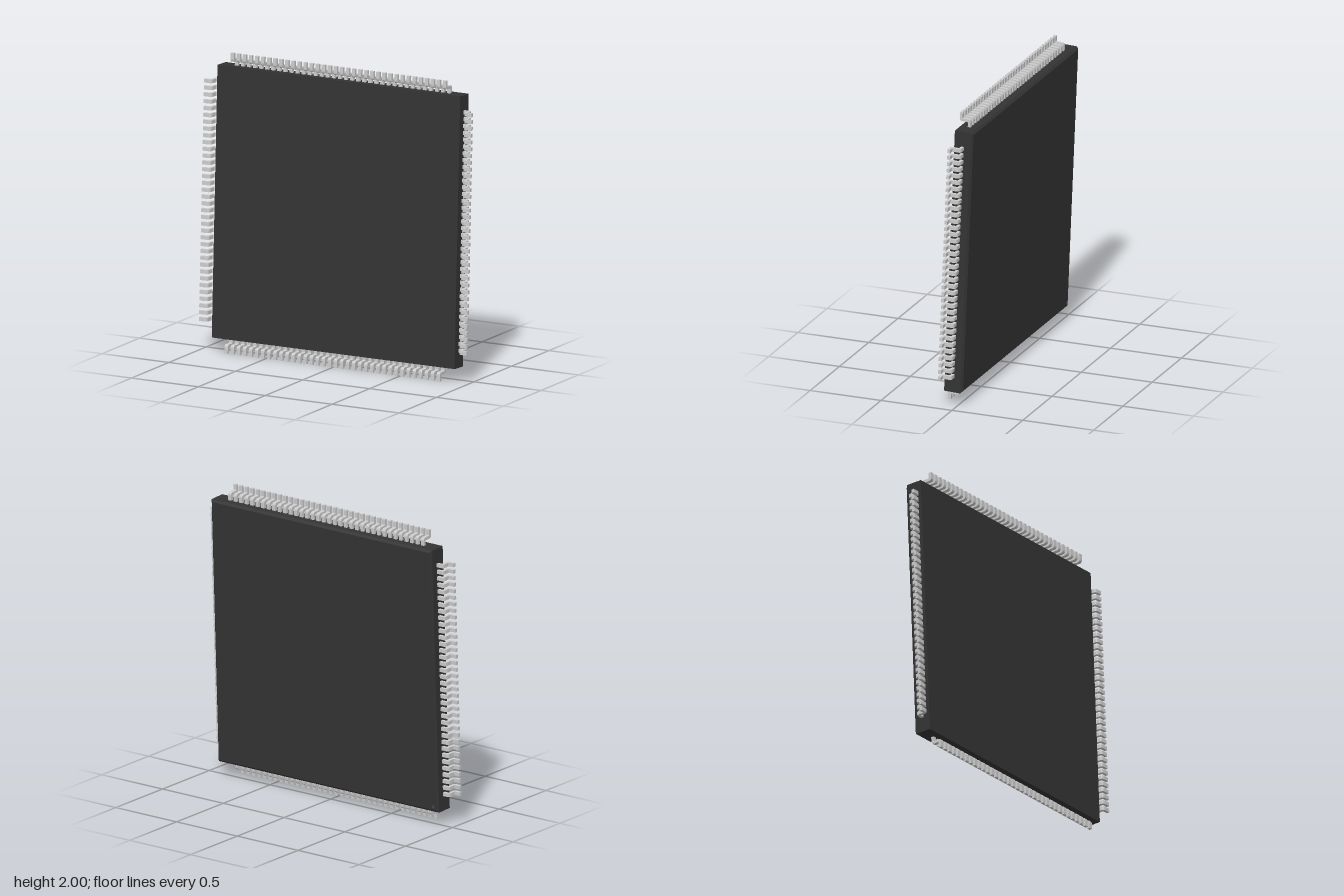
import * as THREE from 'three';

const HALF = 0.907;      // half width of the body
const THICK = 0.127;     // body thickness
const CHAMFER = 0.014;   // bevel around the back face
const LEADS = 36;        // leads per side
const PITCH = 0.0453;
const LEAD_WIDTH = 0.025;
const TILT = -0.042;     // the package leans slightly back

const bodyMaterial = new THREE.MeshStandardMaterial({ color: 0x333333 });
const dotMaterial = new THREE.MeshStandardMaterial({ color: 0x4a4a4a });
const leadMaterial = new THREE.MeshStandardMaterial({ color: 0xcccccc });

// Square slab whose back edges are chamfered
function bodyGeometry() {
  const box = new THREE.BoxGeometry(2 * HALF, 2 * HALF, THICK, 1, 1, 2);
  const p = box.attributes.position;
  const shrink = (HALF - CHAMFER) / HALF;
  for (let i = 0; i < p.count; i++) {
    const z = p.getZ(i);
    if (Math.abs(z) < 1e-4) p.setZ(i, -THICK / 2 + CHAMFER);
    else if (z < 0) p.setXY(i, p.getX(i) * shrink, p.getY(i) * shrink);
  }
  const flat = box.toNonIndexed();
  flat.computeVertexNormals();
  return flat;
}

// Gull-wing lead: outline of [outward, forward, corner radius], extruded to the lead width
function leadGeometry() {
  const corners = [
    [0.89, -0.005, 0], [0.96, -0.005, 0.02], [0.96, 0.0535, 0.006], [1.0, 0.0535, 0],
    [1.0, 0.0735, 0], [0.94, 0.0735, 0.02], [0.94, 0.015, 0.006], [0.89, 0.015, 0],
  ].map(([u, w, r]) => ({ v: new THREE.Vector2(u, w), r }));
  const shape = new THREE.Shape();
  corners.forEach(({ v, r }, i) => {
    const prev = corners[(i + 7) % 8].v, next = corners[(i + 1) % 8].v;
    const a = prev.clone().sub(v).setLength(r).add(v);
    const b = next.clone().sub(v).setLength(r).add(v);
    if (i === 0) shape.moveTo(v.x, v.y);
    else shape.lineTo(a.x, a.y);
    if (r > 0) shape.quadraticCurveTo(v.x, v.y, b.x, b.y);
  });
  const geometry = new THREE.ExtrudeGeometry(shape, {
    depth: LEAD_WIDTH, bevelEnabled: false, curveSegments: 4,
  });
  geometry.translate(0, 0, -LEAD_WIDTH / 2);
  geometry.rotateX(Math.PI / 2); // outward stays +x, forward becomes +z
  return geometry;
}

export function createModel() {
  const model = new THREE.Group();
  model.name = 'chipPackage';

  const chip = new THREE.Group();
  chip.name = 'tiltedChip';
  chip.position.set(0, 0.998, -0.008);
  chip.rotation.x = TILT;
  model.add(chip);

  const body = new THREE.Mesh(bodyGeometry(), bodyMaterial);
  body.name = 'body';
  chip.add(body);

  // Small orientation dot in a corner of the back face
  const dot = new THREE.Mesh(new THREE.CylinderGeometry(0.01, 0.01, 0.002, 20), dotMaterial);
  dot.name = 'orientationDot';
  dot.rotation.x = Math.PI / 2;
  dot.position.set(-0.87, -0.87, -THICK / 2);
  chip.add(dot);

  // One row of leads, turned to each of the four sides
  const lead = leadGeometry();
  ['leftLeads', 'topLeads', 'rightLeads', 'bottomLeads'].forEach((name, side) => {
    const row = new THREE.Group();
    row.name = name;
    row.rotation.z = side * Math.PI / 2;
    for (let i = 0; i < LEADS; i++) {
      const pin = new THREE.Mesh(lead, leadMaterial);
      pin.name = 'lead';
      pin.position.y = (i - (LEADS - 1) / 2) * PITCH;
      row.add(pin);
    }
    chip.add(row);
  });

  return model;
}
